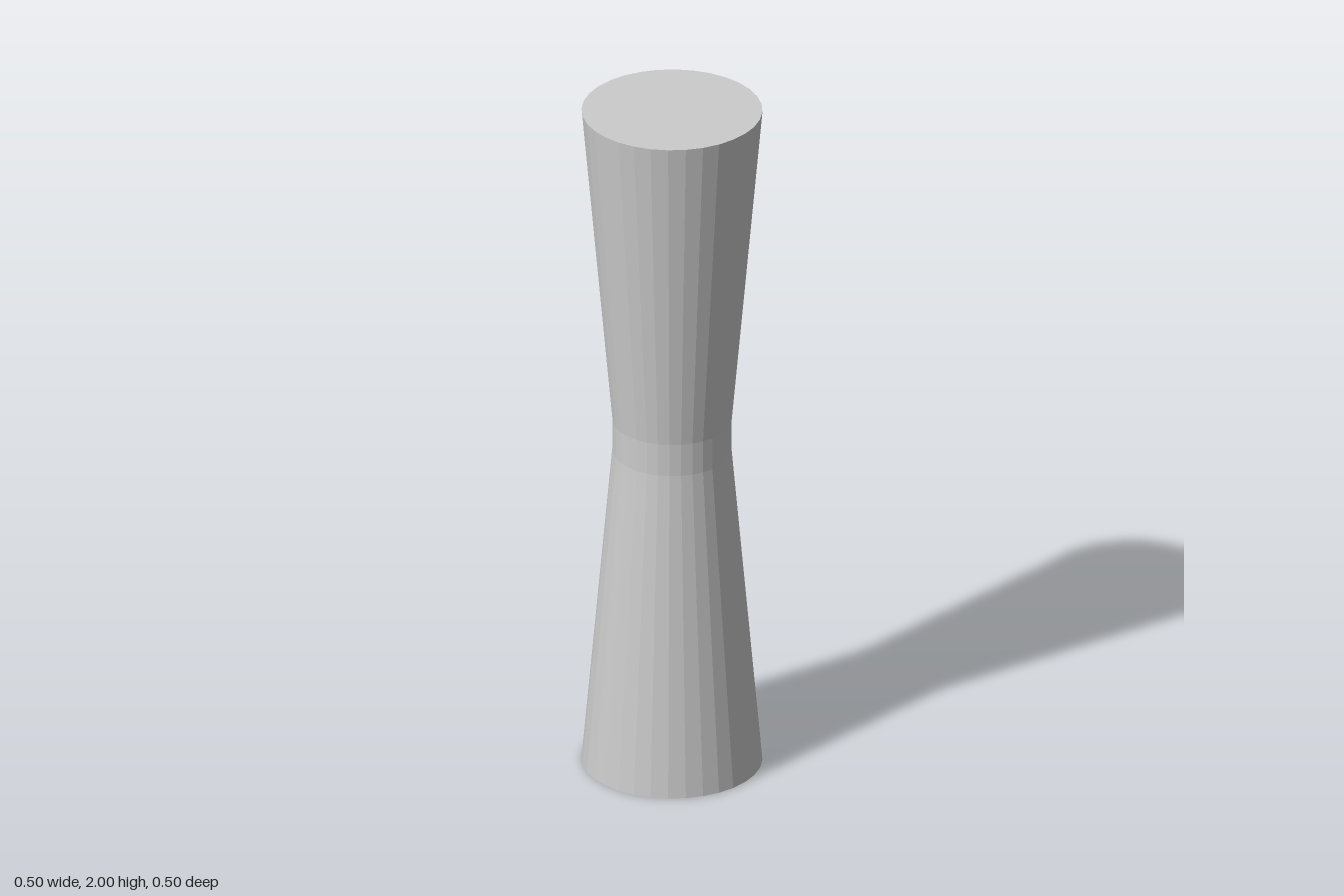
import * as THREE from 'three';

const SIDES = 32;
const END_RADIUS = 0.25;
const WAIST_RADIUS = 0.165;
const HEIGHT = 2;
const WAIST_HALF = 0.048; // half height of the straight band

export function createModel() {
  const group = new THREE.Group();
  group.name = 'waistedColumn';
  const material = new THREE.MeshStandardMaterial({ color: 0xcccccc, flatShading: true });

  // Closed profile from the bottom centre up to the top centre
  const mid = HEIGHT / 2;
  const profile = [
    [0, 0],
    [END_RADIUS, 0],
    [WAIST_RADIUS, mid - WAIST_HALF],
    [WAIST_RADIUS, mid + WAIST_HALF],
    [END_RADIUS, HEIGHT],
    [0, HEIGHT],
  ].map(([r, y]) => new THREE.Vector2(r, y));

  // Faceted column: flared foot, straight waist band, flared top
  const column = new THREE.Mesh(new THREE.LatheGeometry(profile, SIDES), material);
  column.name = 'column';
  group.add(column);

  return group;
}
